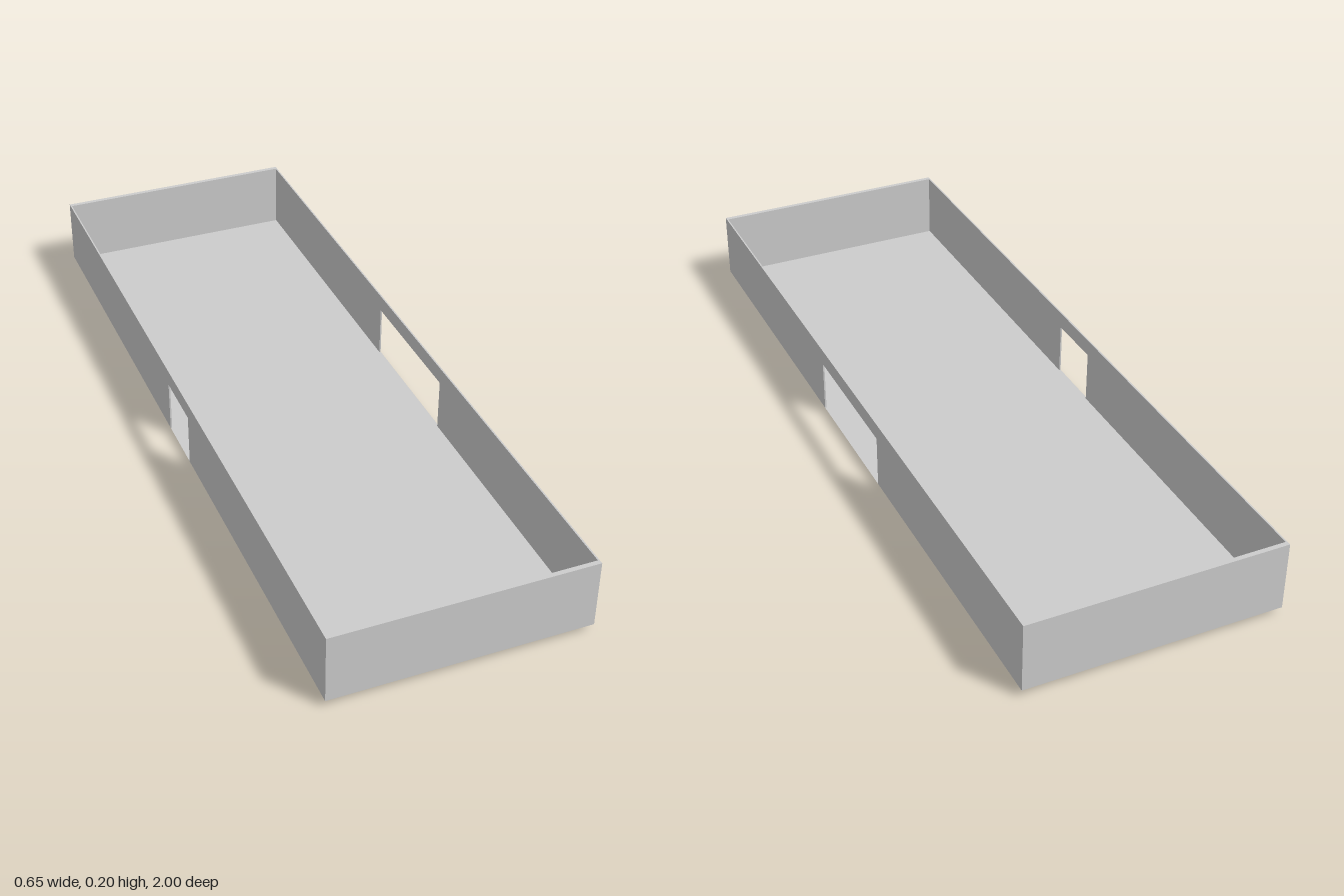
import * as THREE from 'three';
import { ConvexGeometry } from 'three/addons/geometries/ConvexGeometry.js';

const HALF_X = 0.327, FLOOR = 0.018, TOP = 0.198, DOOR_TOP = 0.155;
const SIDE_T = 0.004, END_T = 0.012;

export function createModel() {
  const group = new THREE.Group();
  const material = new THREE.MeshStandardMaterial({ color: 0xcccccc, flatShading: true });
  const add = (name, geometry, x = 0, y = 0, z = 0) => {
    const mesh = new THREE.Mesh(geometry, material);
    mesh.name = name;
    mesh.position.set(x, y, z);
    group.add(mesh);
  };

  // Long wall outline (z, y) with a doorway notched up from the floor
  const sideWall = (doorBack, doorFront) => {
    const outline = [
      [-1, FLOOR], [doorBack, FLOOR], [doorBack, DOOR_TOP], [doorFront, DOOR_TOP],
      [doorFront, FLOOR], [1, FLOOR], [1, TOP], [-1, TOP],
    ].map(([z, y]) => new THREE.Vector2(z, y));
    return new THREE.ExtrudeGeometry(new THREE.Shape(outline), { depth: SIDE_T, bevelEnabled: false })
      .rotateY(-Math.PI / 2);
  };
  add('wideDoorWall', sideWall(-0.187, 0.187), HALF_X);
  add('narrowDoorWall', sideWall(-0.06, 0.095), -HALF_X + SIDE_T);

  // Short closed walls, fitted between the long ones
  for (const [name, s] of [['frontWall', 1], ['backWall', -1]]) {
    add(name, new THREE.BoxGeometry(2 * (HALF_X - SIDE_T), TOP - FLOOR, END_T),
      0, (TOP + FLOOR) / 2, s * (1 - END_T / 2));
  }

  // Floor: flat on top, with a shallow off-centre sag underneath
  const points = [];
  for (const s of [-1, 1]) {
    for (const x of [-HALF_X, HALF_X]) points.push(new THREE.Vector3(x, FLOOR, s));
    for (const x of [-0.295, -0.22]) points.push(new THREE.Vector3(x, 0, s * 0.24));
  }
  add('floor', new ConvexGeometry(points));

  return group;
}
